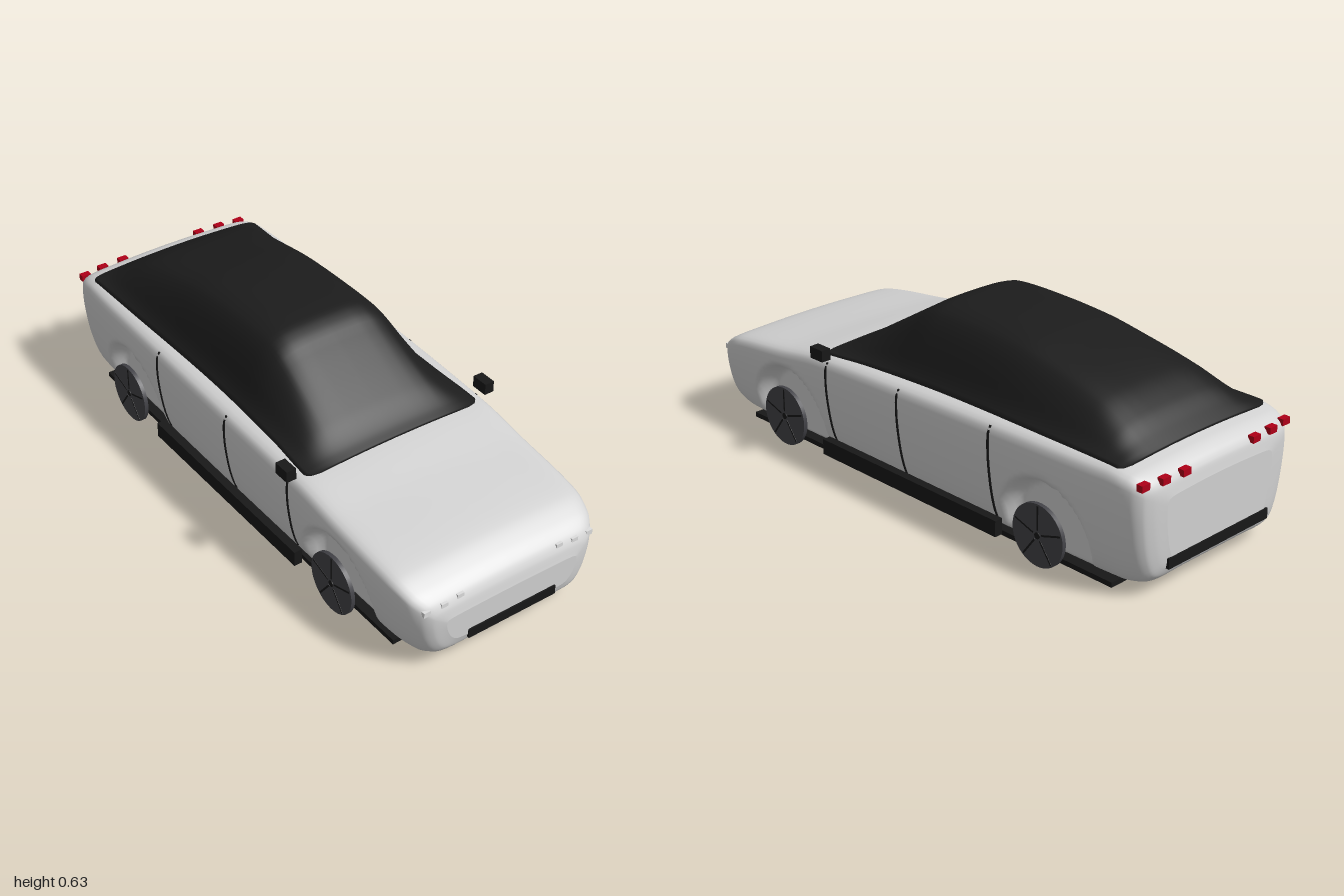
import * as THREE from 'three';

const material = (name, color) => {
  const m = new THREE.MeshStandardMaterial({ color });
  m.name = name;
  return m;
};

// Smooth interpolation without overshoot through [position, value] pairs
function profile(points) {
  const n = points.length;
  const slope = i => (points[i + 1][1] - points[i][1]) / (points[i + 1][0] - points[i][0]);
  const tangent = points.map((p, i) => {
    if (i === 0) return slope(0);
    if (i === n - 1) return slope(n - 2);
    const a = slope(i - 1), b = slope(i);
    return a * b <= 0 ? 0 : (2 * a * b) / (a + b);
  });
  return x => {
    if (x <= points[0][0]) return points[0][1];
    if (x >= points[n - 1][0]) return points[n - 1][1];
    let i = 0;
    while (x > points[i + 1][0]) i++;
    const h = points[i + 1][0] - points[i][0], t = (x - points[i][0]) / h;
    const t2 = t * t, t3 = t2 * t;
    return (2 * t3 - 3 * t2 + 1) * points[i][1] + (t3 - 2 * t2 + t) * h * tangent[i]
      + (3 * t2 - 2 * t3) * points[i + 1][1] + (t3 - t2) * h * tangent[i + 1];
  };
}

// Body outline along its length: top, underside and half width
const bodyTop = profile([[-1, 0.33], [-0.99, 0.37], [-0.97, 0.395], [-0.93, 0.415], [-0.86, 0.426],
  [-0.4, 0.42], [0, 0.41], [0.41, 0.391], [0.6, 0.362], [0.8, 0.336], [0.87, 0.322], [0.93, 0.295],
  [0.97, 0.265], [0.99, 0.235], [1, 0.2]]);
const bodyBottom = profile([[-1, 0.1], [-0.98, 0.062], [-0.95, 0.042], [-0.88, 0.03],
  [0.8, 0.03], [0.92, 0.038], [0.97, 0.052], [0.99, 0.072], [1, 0.1]]);
const bodyWidth = profile([[-1, 0.24], [-0.993, 0.29], [-0.98, 0.325], [-0.95, 0.348], [-0.9, 0.36],
  [-0.7, 0.37], [0, 0.376], [0.7, 0.371], [0.85, 0.366], [0.93, 0.35], [0.97, 0.325], [0.99, 0.295], [1, 0.25]]);
const LENGTH = 0.995;

// Right half of the body section, from underside centre to roof-deck centre
const HALF = new THREE.CatmullRomCurve3([
  [0, 0], [0.4, 0], [0.75, 0.002], [0.84, 0.045], [0.9, 0.15], [0.945, 0.3], [0.98, 0.5], [1, 0.7],
  [1, 0.85], [0.99, 0.915], [0.95, 0.95], [0.88, 0.968], [0.6, 0.985], [0.3, 0.996], [0, 1],
].map(([u, v]) => new THREE.Vector3(u, v, 0)), false, 'centripetal').getSpacedPoints(60);

const deckY = (x, z) => {
  const t = bodyTop(z), b = bodyBottom(z), u = Math.min(Math.abs(x) / bodyWidth(z), 1);
  return t - 0.042 * u * u * (t - b);
};
function halfWidth(y, z) {
  const b = bodyBottom(z), v = (y - b) / (bodyTop(z) - b);
  if (v < 0 || v > 1) return 0;
  const i = Math.max(1, HALF.findIndex(p => p.y >= v));
  const a = HALF[i - 1], c = HALF[i];
  const k = c.y === a.y ? 0 : (v - a.y) / (c.y - a.y);
  return bodyWidth(z) * (a.x + (c.x - a.x) * k);
}
// Position of the nose (end = 1) or tail (end = -1) surface at x, y
function endZ(x, y, end) {
  let z = 1;
  while (z > 0.8 && halfWidth(y, z * end) < Math.abs(x)) z -= 0.002;
  return z * end * LENGTH;
}

// Closed rings [x, y, z], counterclockwise seen from +z, joined from back to front
function loft(rings) {
  const n = rings[0].length, pos = rings.flat(2), index = [];
  for (let i = 0; i < rings.length - 1; i++) {
    for (let j = 0; j < n; j++) {
      const k = (j + 1) % n, a = i * n + j, b = i * n + k;
      index.push(a, b, a + n, b, b + n, a + n);
    }
  }
  [rings[0], rings[rings.length - 1]].forEach((ring, end) => {
    const start = end * (rings.length - 1) * n, centre = pos.length / 3;
    pos.push(0, ring.reduce((s, p) => s + p[1], 0) / n, ring[0][2]);
    for (let j = 0; j < n; j++) {
      const a = start + j, b = start + (j + 1) % n;
      index.push(centre, ...(end ? [a, b] : [b, a]));
    }
  });
  const g = new THREE.BufferGeometry();
  g.setAttribute('position', new THREE.Float32BufferAttribute(pos, 3));
  g.setIndex(index);
  g.computeVertexNormals();
  return g;
}
const mirrorRing = half => [...half, ...half.slice(1, -1).reverse().map(([x, y, z]) => [-x, y, z])];

const AXLES = [0.59, -0.61], WHEEL_Y = 0.106;

// Body shell with dished wheel arches
function bodyGeometry() {
  const rings = [], N = 240;
  for (let i = 0; i <= N; i++) {
    const z = Math.sin((i / N - 0.5) * Math.PI), zz = z * LENGTH;
    const w = bodyWidth(z), b = bodyBottom(z), h = bodyTop(z) - b;
    rings.push(mirrorRing(HALF.map(p => {
      let x = p.x * w;
      const y = b + p.y * h;
      for (const axle of AXLES) {
        const d = Math.hypot(zz - axle, y - WHEEL_Y);
        const k = 1 - THREE.MathUtils.smoothstep(d, 0.145, 0.185);
        if (x > 0.29) x += (0.29 - x) * k;
      }
      return [x, y, zz];
    })));
  }
  return loft(rings);
}

// One-piece glass canopy seated on the deck
function canopyGeometry() {
  const height = profile([[-0.9, 0.425], [-0.86, 0.452], [-0.8, 0.493], [-0.7, 0.54], [-0.5, 0.589],
    [-0.35, 0.616], [-0.2, 0.627], [-0.08, 0.63], [0, 0.627], [0.05, 0.612], [0.1, 0.583], [0.2, 0.522],
    [0.3, 0.46], [0.38, 0.41], [0.415, 0.394]]);
  const width = profile([[-0.9, 0.29], [-0.893, 0.318], [-0.875, 0.333], [-0.7, 0.331], [-0.1, 0.318],
    [0.2, 0.324], [0.39, 0.334], [0.408, 0.32], [0.415, 0.29]]);
  const arch = profile([[0, 1], [0.3, 0.995], [0.45, 0.975], [0.6, 0.9], [0.7, 0.76], [0.82, 0.46],
    [0.9, 0.2], [0.95, 0.08], [1, 0]]);
  const rings = [], N = 110;
  for (let i = 0; i <= N; i++) {
    const z = -0.2425 + 0.6575 * Math.sin((i / N - 0.5) * Math.PI);
    const w = width(z), rise = Math.max(0, height(z) - deckY(0, z) - 0.004);
    const half = [[0, deckY(w, z) - 0.02, z], [w, deckY(w, z) - 0.02, z]];
    for (let j = 0; j <= 32; j++) {
      const u = 1 - j / 32;
      half.push([u * w, deckY(u * w, z) + 0.004 + rise * arch(u), z]);
    }
    rings.push(mirrorRing(half));
  }
  return loft(rings);
}

export function createModel() {
  const model = new THREE.Group();
  model.name = 'car';
  const paint = material('silver paint', 0xd2d2d2);
  const glass = material('dark glass', 0x1c1c1c);
  const trim = material('black trim', 0x181818);
  const rim = material('wheel grey', 0x424247);
  const lamp = material('headlight white', 0xdedede);
  const red = material('tail light red', 0xb00018);

  const add = (name, geometry, mat, x = 0, y = 0, z = 0, parent = model) => {
    const mesh = new THREE.Mesh(geometry, mat);
    mesh.name = name;
    mesh.position.set(x, y, z);
    parent.add(mesh);
    return mesh;
  };
  const box = (w, h, d) => new THREE.BoxGeometry(w, h, d);

  add('body', bodyGeometry(), paint);
  add('canopy', canopyGeometry(), glass);
  add('underbodyPlate', box(0.636, 0.017, 1.69), trim, 0, 0.017, -0.015);
  add('frontIntake', box(0.336, 0.033, 0.03), trim, 0, 0.101, 0.985);
  add('rearBumperBar', box(0.46, 0.035, 0.03), trim, 0, 0.108, -0.985);

  for (const side of [1, -1]) {
    const label = side > 0 ? 'left' : 'right';
    add(label + 'Sill', box(0.03, 0.055, 0.82), trim, side * 0.357, 0.058, -0.02);
    add(label + 'Mirror', box(0.035, 0.04, 0.06), trim, side * 0.386, 0.407, 0.37);

    // Door seams following the curve of the side
    for (const [z, top] of [[0.36, 0.37], [0.01, 0.385], [-0.4, 0.395]]) {
      const h = top - 0.08, g = new THREE.BoxGeometry(0.006, h, 0.008, 1, 14, 1);
      const p = g.attributes.position;
      for (let i = 0; i < p.count; i++) {
        const y = p.getY(i) + 0.08 + h / 2;
        p.setXYZ(i, p.getX(i) + side * halfWidth(y, z), y, p.getZ(i) + z);
      }
      g.computeVertexNormals();
      add(label + 'DoorSeam', g, trim);
    }

    // Three small lamps at each corner
    for (const [x, y] of [[0.19, 0.248], [0.25, 0.243], [0.312, 0.239]])
      add(label + 'Headlight', box(0.024, 0.018, 0.016), lamp, side * x, y, endZ(x, y, 1) - 0.004);
    for (const [x, z] of [[0.16, -0.985], [0.245, -0.981], [0.322, -0.97]])
      add(label + 'TailLight', box(0.034, 0.022, 0.022), red, side * x, 0.379, z);

    // Wheels: thin discs with five dark slots and a hub
    for (const z of AXLES) {
      const wheel = new THREE.Group();
      wheel.name = label + (z > 0 ? 'FrontWheel' : 'RearWheel');
      wheel.position.set(side * 0.367, WHEEL_Y, z);
      model.add(wheel);
      add('disc', new THREE.CylinderGeometry(0.104, 0.104, 0.014, 40).rotateZ(Math.PI / 2), rim, 0, 0, 0, wheel);
      for (let i = 0; i < 5; i++) {
        const slot = box(0.002, 0.08, 0.006).translate(side * 0.0072, 0.058, 0);
        add('slot', slot.rotateX(i * Math.PI * 0.4), trim, 0, 0, 0, wheel);
      }
      add('hub', new THREE.CylinderGeometry(0.011, 0.011, 0.004, 16).rotateZ(Math.PI / 2), trim, side * 0.007, 0, 0, wheel);
    }
  }
  return model;
}
